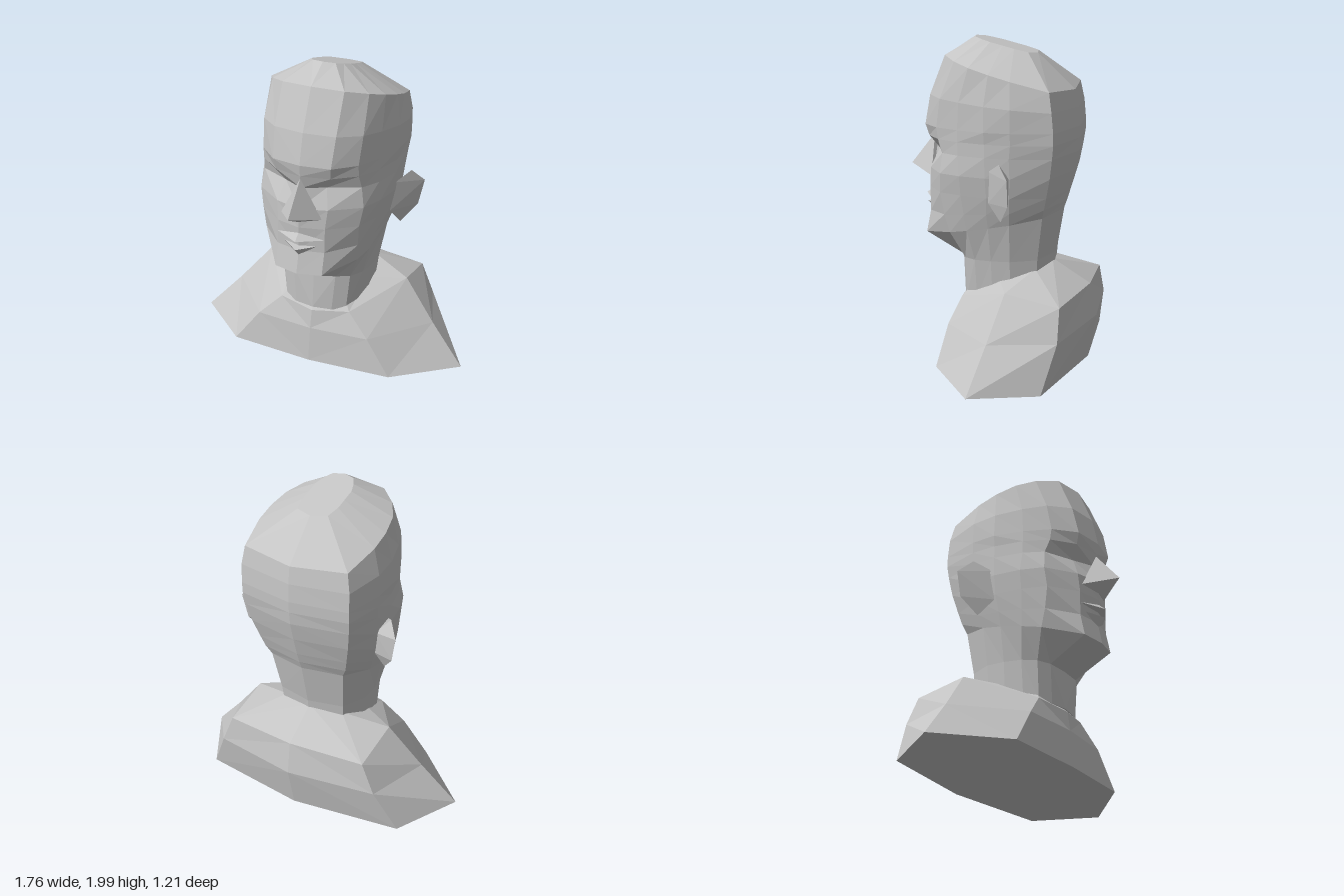
import * as THREE from 'three';
import { ConvexGeometry } from 'three/addons/geometries/ConvexGeometry.js';

// Mirror a half section (front centre -> +x -> back centre) into a closed loop
function mirrorLoop(half) {
  const other = half.slice(1, -1).reverse().map(([x, y, z]) => [-x, y, z]);
  return [...half, ...other];
}

// Skin a stack of half sections, bottom to top, and cap both ends; faceted
function loft(halves) {
  const loops = halves.map(mirrorLoop);
  const n = loops[0].length;
  const out = [];
  const tri = (...p) => p.forEach((v) => out.push(...v));
  for (let i = 0; i < loops.length - 1; i++) {
    for (let j = 0; j < n; j++) {
      const k = (j + 1) % n;
      const a = loops[i][j], b = loops[i][k], c = loops[i + 1][k], d = loops[i + 1][j];
      if (j < n / 2) { tri(a, b, c); tri(a, c, d); } else { tri(a, b, d); tri(b, c, d); }
    }
  }
  const centre = (l) => [0, 1, 2].map((q) => l.reduce((s, p) => s + p[q], 0) / n);
  const low = loops[0], top = loops[loops.length - 1];
  for (let j = 0; j < n; j++) {
    const k = (j + 1) % n;
    tri(low[k], low[j], centre(low));
    tri(top[j], top[k], centre(top));
  }
  const g = new THREE.BufferGeometry();
  g.setAttribute('position', new THREE.Float32BufferAttribute(out, 3));
  g.computeVertexNormals();
  return g;
}

// Head section at height y, tilted along z; xz lists x, z pairs of the half loop
function section(y, tilt, xz) {
  const pts = [];
  for (let i = 0; i < xz.length; i += 2) pts.push([xz[i], y + tilt * xz[i + 1], xz[i + 1]]);
  return pts;
}

const hull = (pts) => new ConvexGeometry(pts.map((p) => new THREE.Vector3(...p)));

export function createModel() {
  const stone = new THREE.MeshStandardMaterial({ color: 0xc4c4c4 });
  stone.name = 'grey stone';

  const model = new THREE.Group();
  model.name = 'bust';
  const body = new THREE.Group();
  body.name = 'turnedBust';
  body.rotation.set(0, -0.2, -0.028);
  body.position.x = -0.016;
  model.add(body);

  const add = (name, geometry) => {
    const mesh = new THREE.Mesh(geometry, stone);
    mesh.name = name;
    body.add(mesh);
  };

  // Shoulders: base, widest back, shoulder ridge, collar
  add('shoulders', loft([
    [[0, 0.055, 0.28], [0.53, 0.06, 0.25], [0.9, 0.045, -0.08], [0.68, 0.02, -0.45], [0, 0.03, -0.55]],
    [[0, 0.28, 0.26], [0.37, 0.28, 0.23], [0.68, 0.29, -0.125], [0.55, 0.29, -0.51], [0, 0.3, -0.6]],
    [[0, 0.4, 0.24], [0.23, 0.42, 0.19], [0.475, 0.54, -0.17], [0.47, 0.48, -0.5], [0, 0.5, -0.56]],
    [[0, 0.44, 0.2], [0.19, 0.47, 0.15], [0.25, 0.55, -0.06], [0.2, 0.62, -0.27], [0, 0.64, -0.32]],
  ]));

  // Neck, jaw and cheeks
  const lower = [
    section(0.42, 0, [0, 0.23, 0.12, 0.21, 0.2, 0.17, 0.24, 0.09, 0.265, -0.02, 0.265, -0.13, 0.2, -0.27, 0, -0.32]),
    section(0.67, -0.04, [0, 0.22, 0.14, 0.21, 0.22, 0.17, 0.27, 0.09, 0.29, -0.02, 0.29, -0.14, 0.22, -0.29, 0, -0.34]),
    section(0.88, -0.2, [0, 0.48, 0.15, 0.45, 0.29, 0.24, 0.32, 0.12, 0.335, -0.02, 0.33, -0.15, 0.25, -0.33, 0, -0.39]),
    section(0.97, -0.1, [0, 0.45, 0.15, 0.42, 0.3, 0.27, 0.34, 0.13, 0.36, -0.02, 0.355, -0.16, 0.28, -0.35, 0, -0.41]),
    section(1.08, 0, [0, 0.46, 0.15, 0.42, 0.31, 0.29, 0.36, 0.14, 0.385, -0.03, 0.38, -0.17, 0.3, -0.37, 0, -0.43]),
    section(1.2, 0, [0, 0.46, 0.16, 0.41, 0.33, 0.28, 0.38, 0.14, 0.405, -0.03, 0.4, -0.18, 0.33, -0.4, 0, -0.46]),
  ];
  // Eye hollows, brow, forehead and crown
  const upper = [
    section(1.32, 0, [0, 0.43, 0.13, 0.36, 0.31, 0.27, 0.37, 0.15, 0.41, -0.03, 0.41, -0.18, 0.35, -0.42, 0, -0.485]),
    section(1.4, 0, [0, 0.45, 0.17, 0.41, 0.3, 0.3, 0.37, 0.15, 0.41, -0.03, 0.415, -0.19, 0.36, -0.43, 0, -0.49]),
    section(1.47, 0, [0, 0.46, 0.18, 0.43, 0.3, 0.31, 0.37, 0.15, 0.42, -0.03, 0.42, -0.19, 0.36, -0.43, 0, -0.49]),
    section(1.62, 0.08, [0, 0.42, 0.19, 0.39, 0.31, 0.28, 0.37, 0.14, 0.415, -0.03, 0.42, -0.19, 0.36, -0.42, 0, -0.48]),
    section(1.81, 0.27, [0, 0.32, 0.19, 0.29, 0.3, 0.19, 0.36, 0.08, 0.385, -0.05, 0.385, -0.18, 0.34, -0.4, 0, -0.46]),
    section(1.955, 0.25, [0, 0.16, 0.07, 0.14, 0.1, 0.09, 0.12, 0.03, 0.12, -0.05, 0.12, -0.12, 0.1, -0.2, 0, -0.23]),
  ];
  add('head', loft([...lower, ...upper]));

  // Nose and lips
  add('nose', hull([[0, 1.385, 0.445], [0, 1.19, 0.605], [0.13, 1.14, 0.42], [-0.13, 1.14, 0.42],
    [0, 1.12, 0.47], [0, 1.2, 0.38]]));
  add('upperLip', hull([[0, 1.045, 0.46], [0.15, 1.01, 0.42], [-0.15, 1.01, 0.42],
    [0, 1.005, 0.505], [0, 0.99, 0.43]]));
  add('lowerLip', hull([[0.11, 0.965, 0.425], [-0.11, 0.965, 0.425], [0, 0.95, 0.5],
    [0, 0.895, 0.45], [0, 0.96, 0.42]]));

  // Ears: wedges that flare outward to the rear
  for (const [s, name] of [[1, 'leftEar'], [-1, 'rightEar']]) {
    add(name, hull([[0.38, 1.05, -0.04], [0.4, 1.24, -0.05], [0.47, 1.3, -0.14], [0.535, 1.22, -0.21],
      [0.505, 1.06, -0.2], [0.42, 0.95, -0.13], [0.38, 1.2, -0.17], [0.37, 1.05, -0.16]]
      .map(([x, y, z]) => [s * x, y, z])));
  }
  return model;
}
